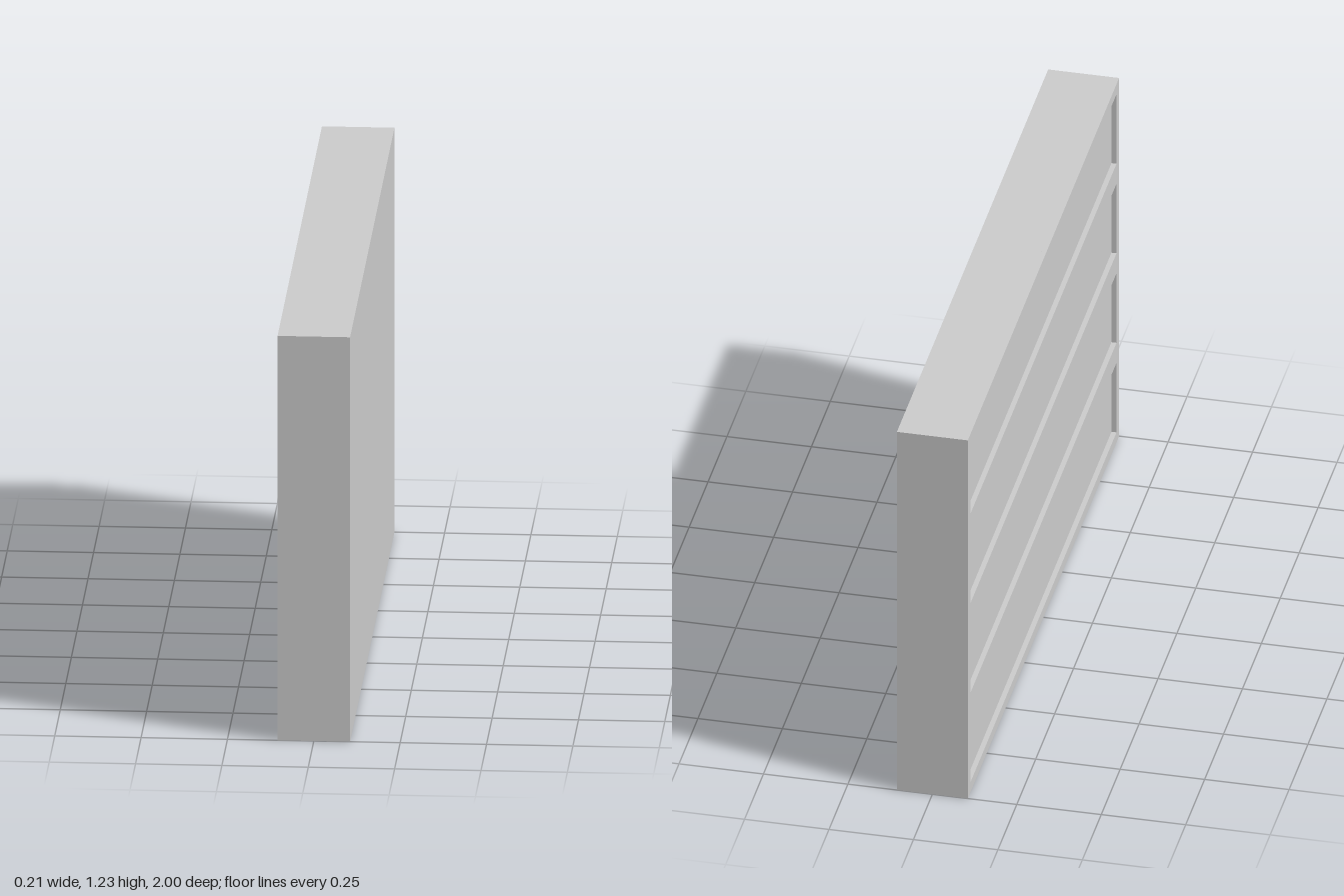
import * as THREE from 'three';

const WIDTH = 0.21, HEIGHT = 1.226, LENGTH = 2;
const RECESS = 0.015, MARGIN = 0.034, ROWS = 4;

// Rectangle outline in the z-y plane, usable as a shape or a hole
function rectangle(path, z0, y0, z1, y1) {
  path.moveTo(z0, y0);
  path.lineTo(z1, y0);
  path.lineTo(z1, y1);
  path.lineTo(z0, y1);
  path.closePath();
  return path;
}

export function createModel() {
  const group = new THREE.Group();
  group.name = 'panelBlock';
  const material = new THREE.MeshStandardMaterial({ color: 0xcccccc, flatShading: true });

  // Solid body, whose left-over side forms the floors of the recesses
  const body = new THREE.Mesh(new THREE.BoxGeometry(WIDTH - RECESS, HEIGHT, LENGTH), material);
  body.name = 'body';
  body.position.set(RECESS / 2, HEIGHT / 2, 0);
  group.add(body);

  // Thin face frame on the -x side with four long recessed panels
  const half = LENGTH / 2, rowHeight = HEIGHT / ROWS;
  const frameShape = rectangle(new THREE.Shape(), -half, 0, half, HEIGHT);
  for (let i = 0; i < ROWS; i++) {
    frameShape.holes.push(rectangle(new THREE.Path(),
      -half + MARGIN, i * rowHeight + MARGIN,
      half - MARGIN, (i + 1) * rowHeight - MARGIN));
  }
  const frameGeometry = new THREE.ExtrudeGeometry(frameShape, { depth: RECESS, bevelEnabled: false });
  frameGeometry.rotateY(-Math.PI / 2);
  const frame = new THREE.Mesh(frameGeometry, material);
  frame.name = 'faceFrame';
  frame.position.x = -WIDTH / 2 + RECESS;
  group.add(frame);

  return group;
}
